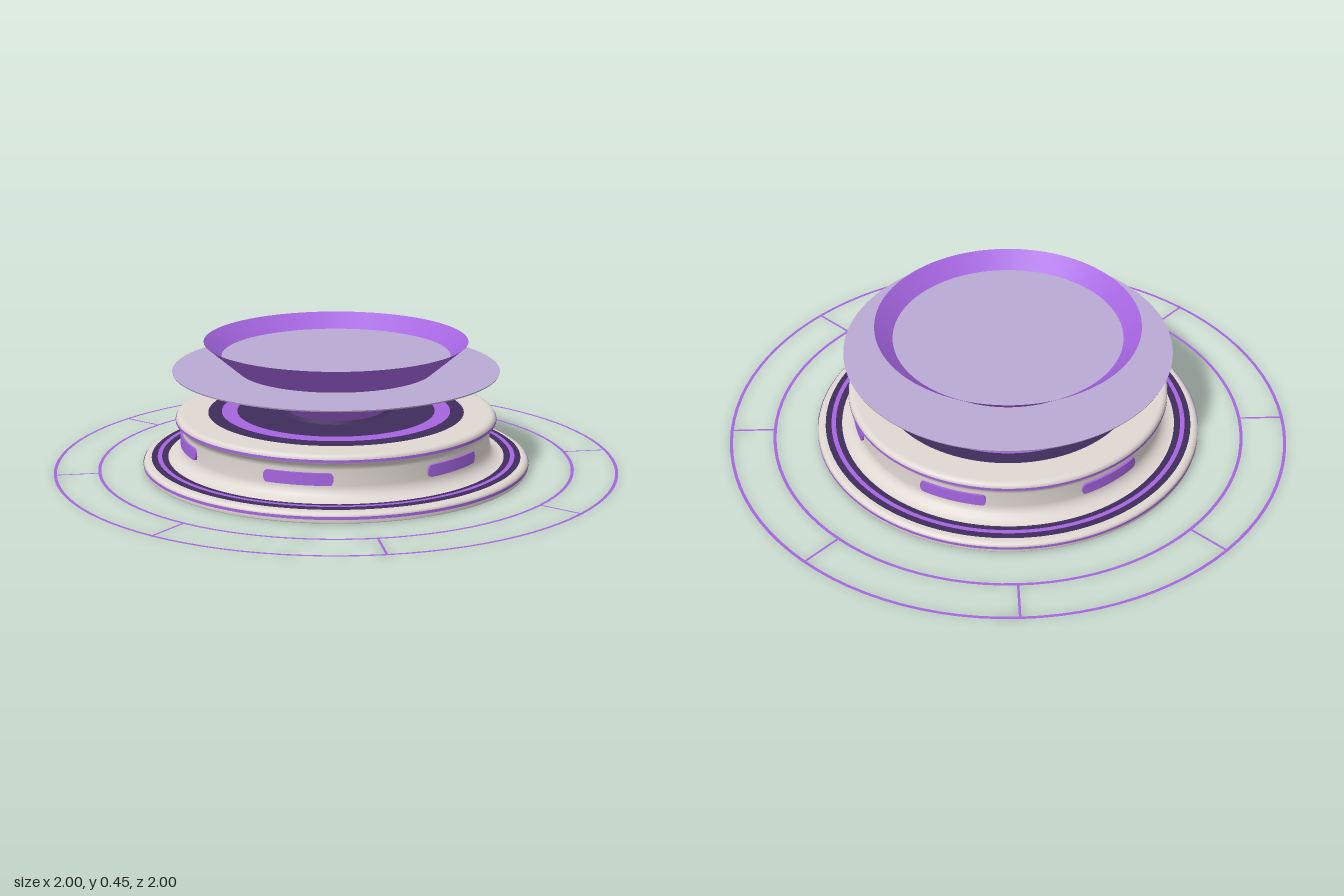
import * as THREE from 'three';

const mat = (name, color, side = THREE.FrontSide) => {
  const m = new THREE.MeshStandardMaterial({ color, side });
  m.name = name;
  return m;
};
const SEG = 96;

export function createModel() {
  const shell = mat('warm grey shell', 0xdfd7d2, THREE.DoubleSide);
  const glow = mat('violet glow', 0xa565e0, THREE.DoubleSide);
  const dark = mat('dark purple', 0x3f2c5a, THREE.DoubleSide);
  const lilac = mat('pale lilac', 0xb9a9d3, THREE.DoubleSide);

  const model = new THREE.Group();
  model.name = 'projectorPad';

  const add = (name, geometry, material, y = 0, parent = model) => {
    const mesh = new THREE.Mesh(geometry, material);
    mesh.name = name;
    mesh.position.y = y;
    parent.add(mesh);
    return mesh;
  };
  const flatRing = (name, inner, outer, y, material) =>
    add(name, new THREE.RingGeometry(inner, outer, SEG).rotateX(-Math.PI / 2), material, y);
  const flatDisc = (name, radius, y, material) =>
    add(name, new THREE.CircleGeometry(radius, SEG).rotateX(-Math.PI / 2), material, y);
  const band = (name, radius, height, y) =>
    add(name, new THREE.CylinderGeometry(radius, radius, height, SEG, 1, true), glow, y);

  // Base shell: flange, fillet, waist and rolled lip, open underneath
  const profile = [
    [0.68, 0], [0.683, 0.004], [0.683, 0.024], [0.68, 0.03], [0.672, 0.035], [0.665, 0.036],
    [0.6, 0.036], [0.585, 0.038], [0.568, 0.045], [0.555, 0.056], [0.547, 0.07], [0.545, 0.085],
    [0.545, 0.14], [0.547, 0.15], [0.554, 0.159], [0.562, 0.166], [0.566, 0.172],
    [0.566, 0.182], [0.562, 0.19], [0.554, 0.194], [0.545, 0.195], [0.453, 0.195],
  ].map(([r, y]) => new THREE.Vector2(r, y));
  add('baseShell', new THREE.LatheGeometry(profile, SEG), shell);

  // Flange trim
  flatRing('flangeChannel', 0.597, 0.656, 0.039, dark);
  flatRing('flangeGlowRing', 0.619, 0.635, 0.042, glow);
  band('flangeEdgeStripe', 0.685, 0.01, 0.019);
  band('lipStripe', 0.568, 0.01, 0.175);

  // Top plate with glowing ring and emitter
  flatDisc('topPlate', 0.456, 0.194, dark);
  flatRing('topGlowRing', 0.35, 0.405, 0.198, glow);
  add('emitter', new THREE.CylinderGeometry(0.17, 0.19, 0.014, SEG), dark, 0.2);

  // Six rounded light slots bent around the waist
  const slots = new THREE.Group();
  slots.name = 'lightSlots';
  model.add(slots);
  const half = 0.12, corner = 0.014;
  for (let i = 0; i < 6; i++) {
    const g = new THREE.BoxGeometry(half * 2, 0.042, 0.018, 48, 1, 1);
    const p = g.attributes.position;
    for (let k = 0; k < p.count; k++) {
      const x = p.getX(k), y = p.getY(k);
      const t = Math.max(0, Math.abs(x) - (half - corner));
      const drop = corner - Math.sqrt(Math.max(0, corner * corner - t * t));
      const a = x / 0.55 + i * Math.PI / 3;
      const r = 0.544 + p.getZ(k);
      p.setXYZ(k, r * Math.sin(a), y - Math.sign(y) * drop, r * Math.cos(a));
    }
    g.computeVertexNormals();
    add('lightSlot', g, glow, 0.108, slots);
  }

  // Projected cone with its two discs
  add('beamCone', new THREE.CylinderGeometry(0.465, 0.175, 0.248, SEG, 1, true), glow, 0.328);
  flatDisc('innerDisc', 0.403, 0.4, lilac);
  const wideProfile = [[0.33, 0.328], [0.575, 0.345], [0.577, 0.35], [0.34, 0.35]]
    .map(([r, y]) => new THREE.Vector2(r, y));
  for (let i = 0; i < 3; i++) {
    add('wideDisc', new THREE.LatheGeometry(wideProfile.slice(i, i + 2), SEG), lilac);
  }

  // Ground rings joined by eight spokes
  flatRing('groundRingOuter', 0.989, 1, 0.002, glow);
  flatRing('groundRingInner', 0.834, 0.845, 0.002, glow);
  for (let i = 0; i < 8; i++) {
    const spoke = new THREE.PlaneGeometry(0.008, 0.15).rotateX(-Math.PI / 2).translate(0, 0, 0.917);
    add('groundSpoke', spoke.rotateY((i + 0.5) * Math.PI / 4), glow, 0.002);
  }
  return model;
}
